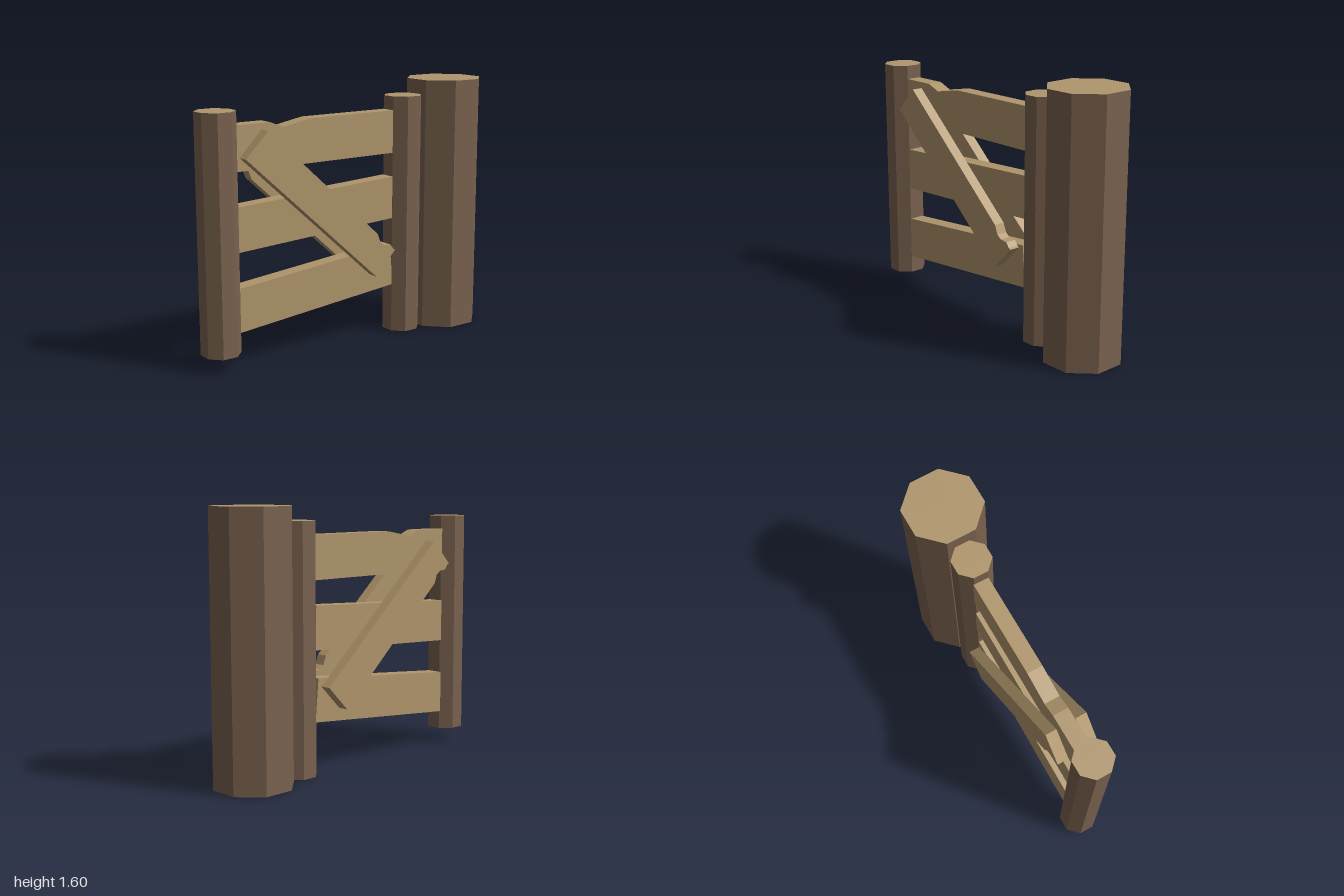
import * as THREE from 'three';

const wood = new THREE.MeshStandardMaterial({ color: 0xb0966c, flatShading: true });
const bark = new THREE.MeshStandardMaterial({ color: 0x7a624f, flatShading: true });

// Octagonal post with flats facing the axes; cut wood on top, bark elsewhere
function post(name, x, halfWidth, y0, y1) {
  const r = halfWidth / Math.cos(Math.PI / 8);
  const geo = new THREE.CylinderGeometry(r, r, y1 - y0, 8);
  geo.rotateY(Math.PI / 8);
  const mesh = new THREE.Mesh(geo, [bark, wood, bark]);
  mesh.position.set(x, (y0 + y1) / 2, 0);
  mesh.name = name;
  return mesh;
}

// Board cut from an outline in the xy plane, centred on its own z
function board(name, points, depth) {
  const shape = new THREE.Shape(points.map(([x, y]) => new THREE.Vector2(x, y)));
  const geo = new THREE.ExtrudeGeometry(shape, { depth, bevelEnabled: false });
  geo.translate(0, 0, -depth / 2);
  const mesh = new THREE.Mesh(geo, wood);
  mesh.name = name;
  return mesh;
}

export function createModel() {
  const gate = new THREE.Group();
  gate.name = 'gate';

  // Posts
  gate.add(
    post('mainPost', 0.777, 0.223, 0, 1.6),
    post('hingePost', 0.444, 0.111, 0, 1.51),
    post('latchPost', -0.89, 0.11, 0.095, 1.51)
  );

  // Rails: worn top rail, then two that slope down towards the latch
  const rails = [
    board('topRail', [
      [-0.8, 1.16], [0.34, 1.16], [0.34, 1.425], [-0.28, 1.425],
      [-0.47, 1.39], [-0.56, 1.425], [-0.8, 1.425]
    ], 0.096),
    board('middleRail', [[-0.8, 0.689], [0.343, 0.745], [0.333, 1.01], [-0.81, 0.954]], 0.096),
    board('bottomRail', [[-0.79, 0.209], [0.342, 0.311], [0.318, 0.575], [-0.814, 0.473]], 0.096)
  ];
  rails.forEach((rail) => {
    rail.position.z = -0.003;
    gate.add(rail);
  });

  // Diagonal braces, chipped near one end; the back one is turned half round
  const brace = [
    [-0.533, 0.34], [-0.387, -0.495 + 0.985], [0.395, -0.218], [0.417, -0.274],
    [0.447, -0.296], [0.497, -0.302], [0.52, -0.333], [0.533, -0.34], [0.387, -0.49]
  ].reverse();
  const front = board('frontBrace', brace, 0.07);
  front.position.set(-0.237, 0.9, 0.09);
  const back = board('backBrace', brace, 0.07);
  back.position.set(-0.23, 0.865, -0.095);
  back.rotation.z = Math.PI;
  gate.add(front, back);

  return gate;
}
